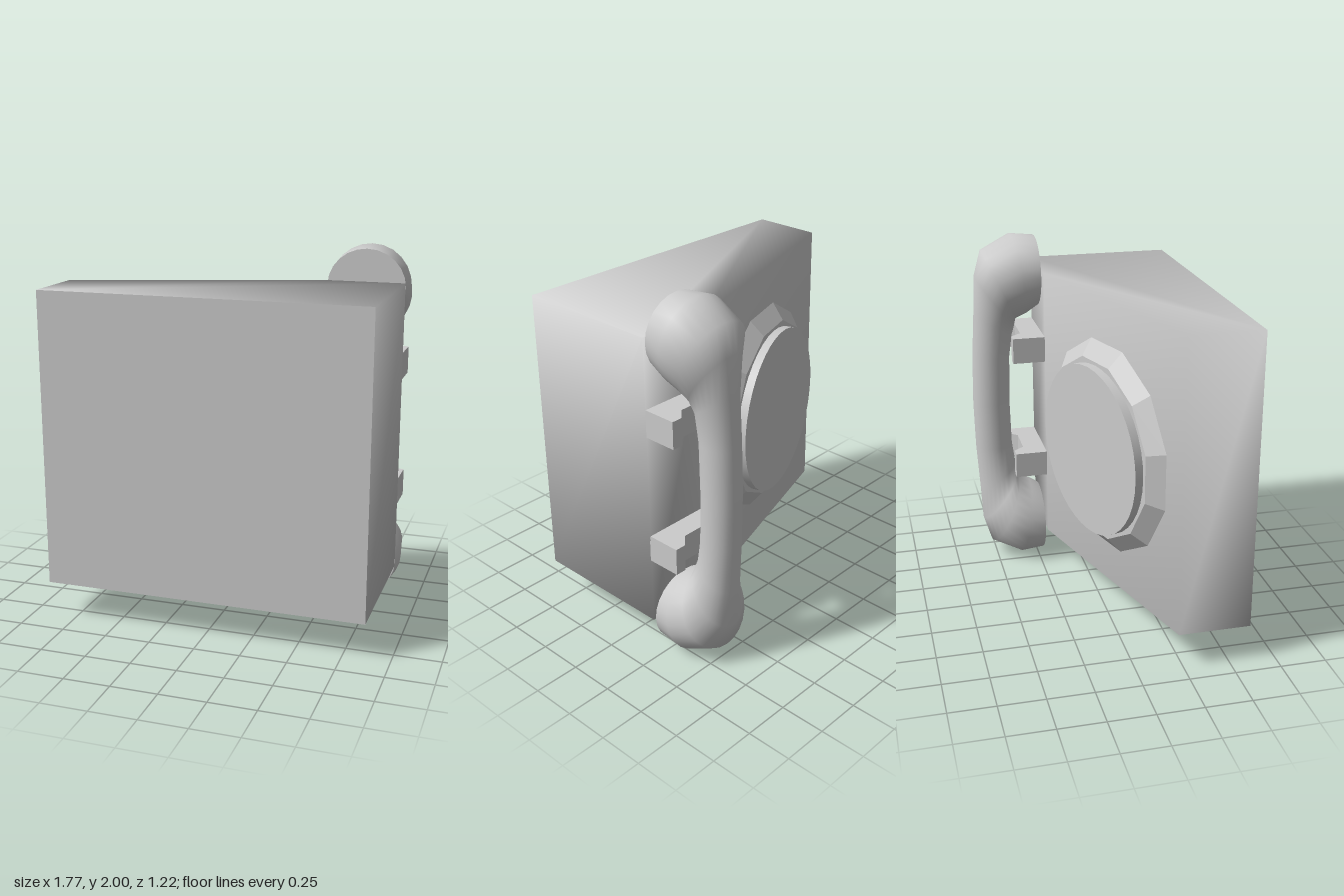
import * as THREE from 'three';

const grey = new THREE.MeshStandardMaterial({ color: 0xcccccc });
const faceted = new THREE.MeshStandardMaterial({ color: 0xcccccc, flatShading: true });

function mesh(name, geometry, material = grey) {
  const m = new THREE.Mesh(geometry, material);
  m.name = name;
  return m;
}

function indexed(points, index) {
  const g = new THREE.BufferGeometry();
  g.setAttribute('position', new THREE.Float32BufferAttribute(points, 3));
  g.setIndex(index);
  g.computeVertexNormals();
  return g;
}

// Wedge body: five-cornered plan between two heights, softly shaded, with a flat front
function createBody() {
  const plan = [[-0.89, 0.61], [0.87, 0.61], [0.87, -0.205], [0.45, -0.205], [-0.89, 0.22]];
  const n = plan.length, points = [], index = [];
  for (const y of [0.2, 1.81]) for (const [x, z] of plan) points.push(x, y, z);
  for (let i = 1; i < n; i++) {
    const j = (i + 1) % n;
    index.push(i, j, n + j, i, n + j, n + i);
  }
  for (let i = 1; i < n - 1; i++) {
    index.push(n, n + i, n + i + 1); // top
    index.push(0, i + 1, i); // bottom
  }
  const front = mesh('bodyFront', new THREE.PlaneGeometry(1.76, 1.61));
  front.position.set(-0.01, 1.005, 0.61);
  const body = new THREE.Group();
  body.name = 'body';
  body.add(mesh('bodyShell', indexed(points, index)), front);
  return body;
}

// Dial: twelve-sided tapered base and a round plate, lying on the sloping face
function createDial() {
  const dial = new THREE.Group();
  dial.name = 'dial';
  const base = mesh('dialBase',
    new THREE.CylinderGeometry(0.505, 0.593, 0.07, 12, 1, false, Math.PI / 12), faceted);
  base.position.z = 0.035;
  const plate = mesh('dialPlate', new THREE.CylinderGeometry(0.47, 0.47, 0.05, 40));
  plate.position.z = 0.091;
  for (const part of [base, plate]) part.rotation.x = Math.PI / 2;
  dial.add(base, plate);
  dial.position.set(-0.2, 1.0, 0);
  dial.rotation.y = Math.atan2(-0.306, -0.952);
  return dial;
}

// Notched cradle bracket that holds the handset grip
function createCradle(name, y) {
  const outline = [[0.45, 0.2], [0.87, 0.2], [0.87, 0.39], [0.81, 0.39],
    [0.75, 0.33], [0.56, 0.33], [0.51, 0.39], [0.45, 0.39]];
  const shape = new THREE.Shape(outline.map(([x, d]) => new THREE.Vector2(x, d)));
  const g = new THREE.ExtrudeGeometry(shape, { depth: 0.148, bevelEnabled: false });
  g.rotateX(-Math.PI / 2);
  const cradle = mesh(name, g);
  cradle.position.y = y;
  return cradle;
}

// Handset: oval cross-sections swept from ear cup through grip to mouth cup
function createHandset() {
  // outer y, outer z, inner y, inner z, half width
  const half = [
    [1.985, -0.22, 1.58, -0.22, 0.215],
    [2.0, -0.36, 1.54, -0.28, 0.23],
    [1.91, -0.53, 1.51, -0.345, 0.215],
    [1.76, -0.575, 1.46, -0.352, 0.145],
    [1.55, -0.585, 1.41, -0.365, 0.108],
    [1.28, -0.602, 1.28, -0.383, 0.1],
  ];
  const mirrored = half.map(([a, b, c, d, w]) => [2 - a, b, 2 - c, d, w]).reverse();
  const rings = [...half, [1, -0.608, 1, -0.39, 0.1], ...mirrored];
  const sides = 24, points = [], index = [];
  for (const [oy, oz, iy, iz, w] of rings) {
    for (let j = 0; j < sides; j++) {
      const t = (j / sides) * Math.PI * 2, c = Math.cos(t) / 2;
      points.push(0.655 + w * Math.sin(t), (oy + iy) / 2 + (oy - iy) * c, (oz + iz) / 2 + (oz - iz) * c);
    }
  }
  for (let i = 0; i < rings.length - 1; i++) {
    for (let j = 0; j < sides; j++) {
      const a = i * sides + j, b = i * sides + (j + 1) % sides;
      index.push(a, b, b + sides, a, b + sides, a + sides);
    }
  }
  const handset = new THREE.Group();
  handset.name = 'handset';
  handset.add(mesh('handsetShell', indexed(points, index)));

  // Flat faces closing both cups
  for (const [name, s] of [['earCap', 1], ['mouthCap', -1]]) {
    const cap = mesh(name, new THREE.CircleGeometry(1, sides, Math.PI / 2));
    cap.scale.set(0.215, 0.2025, 1);
    cap.position.set(0.655, 1 + s * 0.7825, -0.22);
    handset.add(cap);
  }
  return handset;
}

export function createModel() {
  const model = new THREE.Group();
  model.name = 'wallTelephone';
  model.add(
    createBody(),
    createDial(),
    createCradle('upperCradle', 1.287),
    createCradle('lowerCradle', 0.573),
    createHandset(),
  );
  return model;
}
